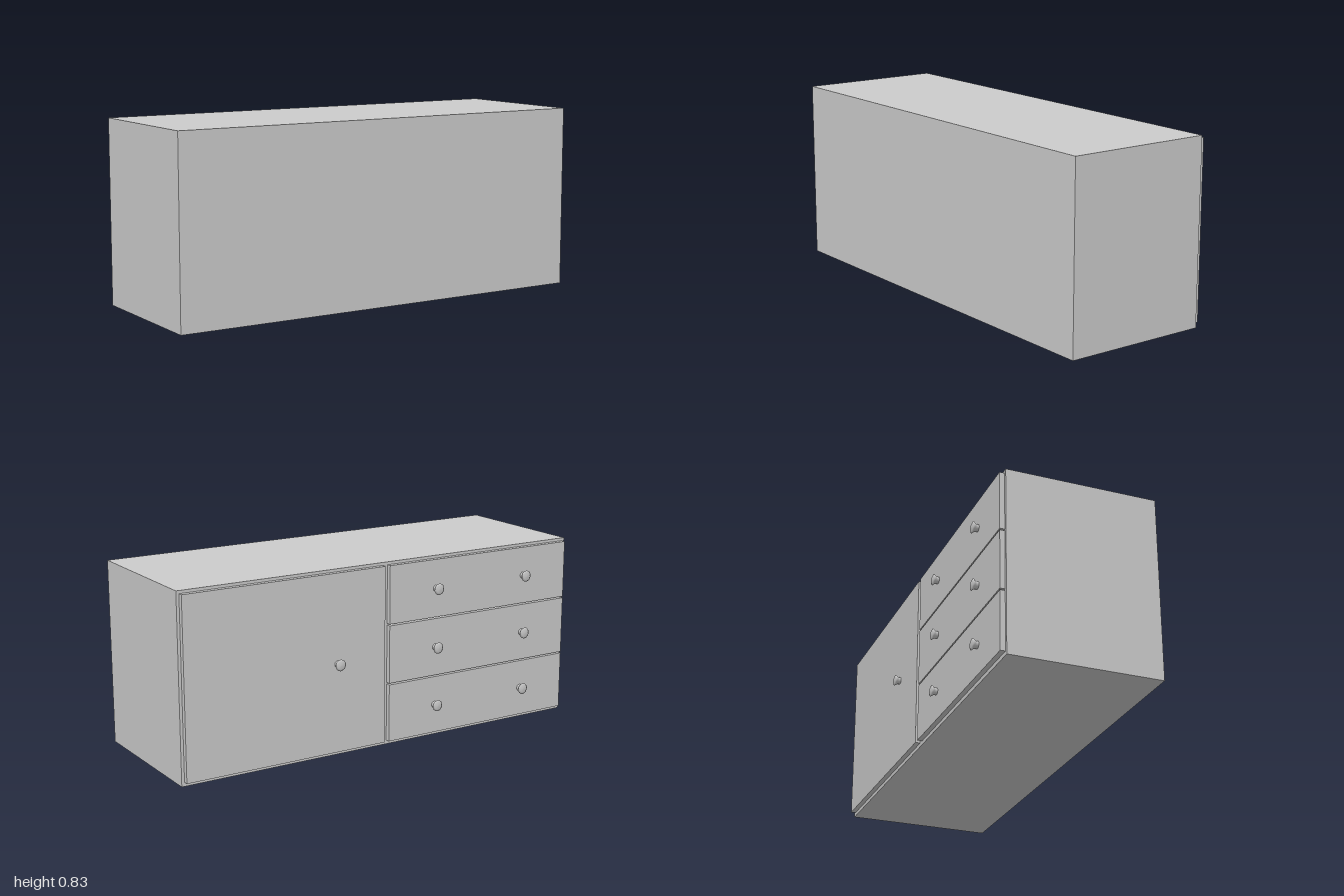
import * as THREE from 'three';

const material = new THREE.MeshStandardMaterial({ color: 0xcccccc });

// Box given by its lower and upper limits on each axis
function box(name, [x0, x1], [y0, y1], [z0, z1]) {
  const mesh = new THREE.Mesh(new THREE.BoxGeometry(x1 - x0, y1 - y0, z1 - z0), material);
  mesh.position.set((x0 + x1) / 2, (y0 + y1) / 2, (z0 + z1) / 2);
  mesh.name = name;
  return mesh;
}

export function createModel() {
  const model = new THREE.Group();
  model.name = 'sideboard';

  const bodyBack = -0.312, panelFace = -0.334;
  const panelZ = [panelFace, bodyBack];

  // Plain cabinet body
  model.add(box('cabinetBody', [-1, 1], [0, 0.832], [bodyBack, 0.364]));

  // Flared knob with a shallow domed face, turned to point along -z
  const profile = [[0.016, 0], [0.0165, 0.009], [0.019, 0.016], [0.026, 0.024], [0.017, 0.028], [0, 0.029]]
    .map(([r, h]) => new THREE.Vector2(r, h));
  const knobGeometry = new THREE.LatheGeometry(profile, 14).rotateX(-Math.PI / 2);
  const addKnob = (name, x, y) => {
    const knob = new THREE.Mesh(knobGeometry, material);
    knob.position.set(x, y, panelFace);
    knob.name = name;
    model.add(knob);
  };

  // Single door
  const bottom = 0.018, top = 0.819;
  model.add(box('door', [0.012, 0.987], [bottom, top], panelZ));
  addKnob('doorKnob', 0.255, 0.418);

  // Three stacked drawers, two knobs each
  const gap = 0.007, height = (top - bottom - 2 * gap) / 3;
  for (let i = 0; i < 3; i++) {
    const y = bottom + i * (height + gap);
    model.add(box('drawerFront', [-0.987, -0.012], [y, y + height], panelZ));
    for (const x of [-0.745, -0.258]) addKnob('drawerKnob', x, y + height / 2);
  }

  return model;
}
